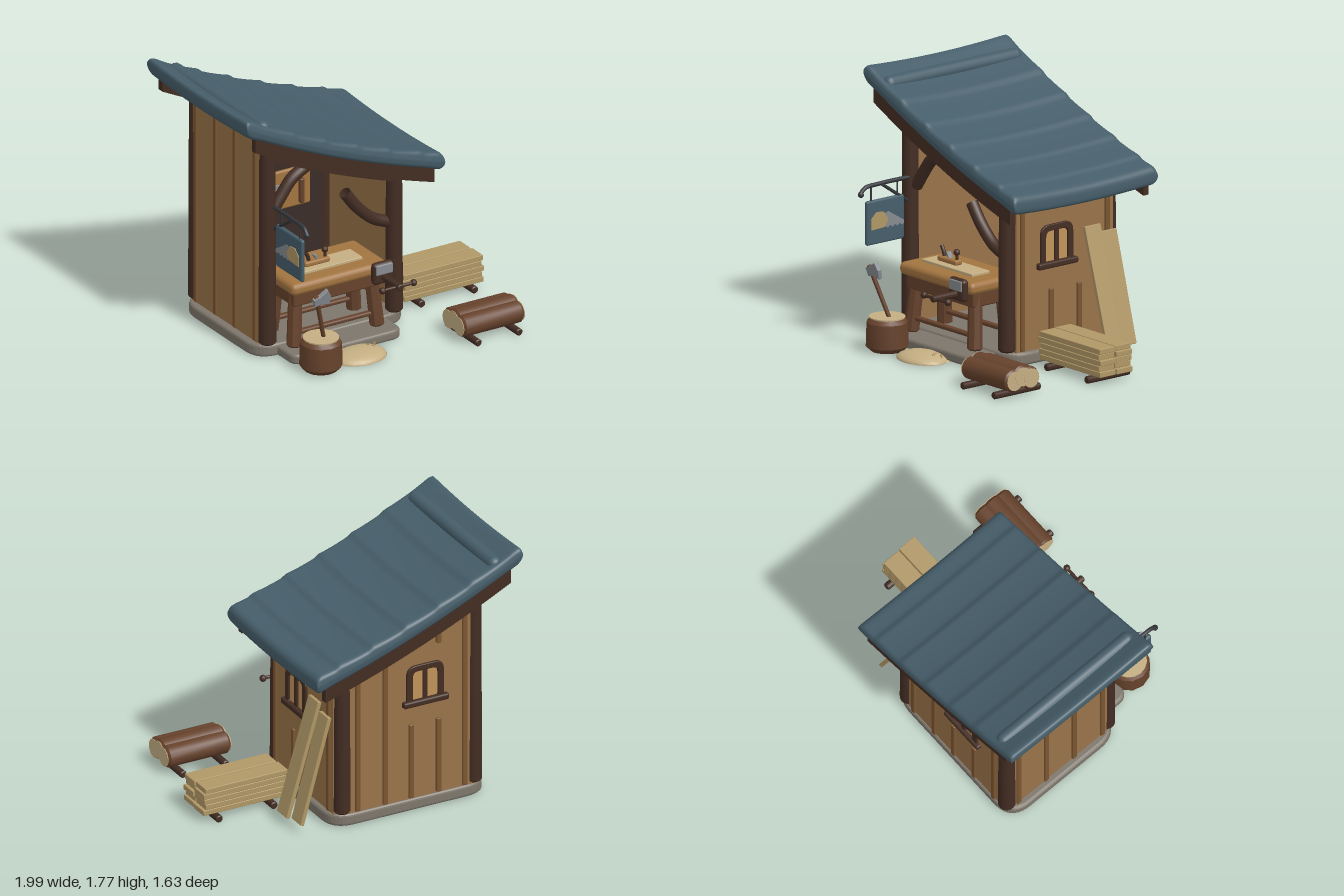
import * as THREE from 'three';
import { RoundedBoxGeometry } from 'three/addons/geometries/RoundedBoxGeometry.js';
import { mergeGeometries, toCreasedNormals } from 'three/addons/utils/BufferGeometryUtils.js';

const C = { dark: 0x432d23, brown: 0x66422c, batten: 0x7a5530, wall: 0x99734a, inside: 0x3a2c27, bench: 0xa27440,
  pale: 0xb09766, slate: 0x465e6a, stone: 0x7d766b, metal: 0x868b90, iron: 0x33363a, pane: 0xc0935a, cut: 0xc4ae82 };
const V = (x, y, z) => new THREE.Vector3(x, y, z);
const mats = {};
const mat = c => (mats[c] ??= new THREE.MeshStandardMaterial({ color: c, side: THREE.DoubleSide }));

function add(parent, name, geo, color, pos = [0, 0, 0], rot = [0, 0, 0]) {
  const m = new THREE.Mesh(geo, mat(color));
  m.name = name;
  m.position.set(...pos);
  m.rotation.set(...rot);
  parent.add(m);
  return m;
}
const box = (w, h, d, r = 0.012) => new RoundedBoxGeometry(w, h, d, 2, Math.min(r, w / 2.1, h / 2.1, d / 2.1));

// Round bar with softened ends between two points
function bar(parent, name, color, a, b, r0, r1 = r0, seg = 14) {
  const p = V(...a), q = V(...b), L = p.distanceTo(q), e = Math.min(r0, r1) * 0.25;
  const prof = [[0, 0], [r0 - e, 0], [r0, e], [r1, L - e], [r1 - e, L], [0, L]].map(v => new THREE.Vector2(...v));
  const m = add(parent, name, toCreasedNormals(new THREE.LatheGeometry(prof, seg), 0.6), color, a);
  m.quaternion.setFromUnitVectors(V(0, 1, 0), q.sub(p).normalize());
  return m;
}
const tube = (pts, r, n = 16) => new THREE.TubeGeometry(new THREE.CatmullRomCurve3(pts.map(p => V(...p))), n, r, 10);
const poly = pts => new THREE.Shape(pts.map(p => new THREE.Vector2(...p)));
const extrude = (shape, depth, bevel = 0) => new THREE.ExtrudeGeometry(shape, { depth, bevelEnabled: bevel > 0,
  bevelSize: bevel, bevelThickness: bevel, bevelOffset: -bevel, bevelSegments: 3, curveSegments: 10 });
function roundRect(x, y, w, h, r, rb = r, S = THREE.Shape) {
  const s = new S();
  s.moveTo(x + rb, y); s.lineTo(x + w - rb, y); s.quadraticCurveTo(x + w, y, x + w, y + rb);
  s.lineTo(x + w, y + h - r); s.quadraticCurveTo(x + w, y + h, x + w - r, y + h);
  s.lineTo(x + r, y + h); s.quadraticCurveTo(x, y + h, x, y + h - r);
  s.lineTo(x, y + rb); s.quadraticCurveTo(x, y, x + rb, y);
  return s;
}

// Centre line of the sagging roof
const mid = x => 1.70 - 0.4264 * (x + 0.95) + 0.08 * (x + 0.95) * (x - 0.07);

// Timber following the roof line; bottom is an offset or a fixed height
function strip(x0, x1, top, bottom, depth) {
  const up = [], down = [], n = 14;
  for (let i = 0; i <= n; i++) {
    const x = x0 + (x1 - x0) * i / n;
    up.push([x, mid(x) + top]);
    down.push([x, bottom > 0 ? bottom : mid(x) + bottom]);
  }
  return extrude(poly([...down, ...up.reverse()]), depth);
}

// Thick roof cover with rounded rim and overlapping courses
function roofGeometry() {
  const x0 = -0.997, x1 = 0.505, z0 = -0.817, z1 = 0.388, r = 0.05;
  const ease = t => t < 0.12 ? 0.04 * (1 - Math.cos(t / 0.12 * Math.PI / 2)) : t > 0.88
    ? 1 - 0.04 * (1 - Math.cos((1 - t) / 0.12 * Math.PI / 2)) : 0.04 + (t - 0.12) / 0.76 * 0.92;
  const rim = d => d >= r ? 1 : Math.max(0, 1 - (1 - d / r) ** 3) ** (1 / 3);
  const sheet = side => {
    const g = new THREE.PlaneGeometry(1, 1, 120, 40), p = g.attributes.position;
    for (let i = 0; i < p.count; i++) {
      const x = x0 + (x1 - x0) * ease(p.getX(i) + 0.5), z = z0 + (z1 - z0) * ease(0.5 - side * p.getY(i));
      const e = rim(Math.min(x - x0, x1 - x)) * rim(Math.min(z - z0, z1 - z));
      const c = (x + 0.84) / 0.24, f = c - Math.floor(c);
      const step = side > 0 && x > -0.84 && x < 0.36 ? 0.014 * (f < 0.86 ? (f / 0.86) ** 2 : (1 - f) / 0.14) : 0;
      const roll = 0.006 * Math.exp(-(((Math.min(x - x0, x1 - x) - 0.05) / 0.05) ** 2));
      const sag = 0.022 * (1 - ((z + 0.215) / 0.6) ** 2);
      p.setXYZ(i, x, mid(x) - sag + side * e * (0.056 + roll + step), z);
    }
    g.computeVertexNormals();
    return g;
  };
  return mergeGeometries([sheet(1), sheet(-1)]);
}

// Window in the xy plane facing +z, origin at the sill
function makeWindow(parent, name, pos, ry) {
  const g = new THREE.Group();
  g.name = name; g.position.set(...pos); g.rotation.y = ry;
  const frame = roundRect(-0.135, 0.02, 0.27, 0.265, 0.07, 0.01);
  frame.holes.push(roundRect(-0.092, 0.04, 0.184, 0.203, 0.04, 0.01, THREE.Path));
  add(g, 'windowFrame', extrude(frame, 0.012, 0.006), C.dark);
  add(g, 'windowPane', extrude(roundRect(-0.1, 0.03, 0.2, 0.22, 0.04, 0.01), 0.006), C.pane, [0, 0, -0.003]);
  add(g, 'mullion', box(0.035, 0.23, 0.018, 0.005), C.dark, [0, 0.14, 0.007]);
  add(g, 'windowSill', box(0.33, 0.042, 0.045), C.dark, [0, 0.02, 0.014]);
  parent.add(g);
}

const sawBlade = poly([[-0.02, 0.035], [0.02, 0.05], [0.15, -0.03], [0.15, -0.05], ...[0, 1, 2, 3].flatMap(i =>
  [[0.135 - i * 0.04, -0.06], [0.115 - i * 0.04, -0.045]]), [-0.02, -0.05]]);
const sawGrip = poly([[-0.125, -0.055], [-0.125, 0.02], [-0.08, 0.06], [-0.02, 0.055], [0.0, 0.02], [0.02, 0], [-0.01, -0.05]]);

export function createModel() {
  const root = new THREE.Group();
  root.name = 'workshop';
  const group = name => { const g = new THREE.Group(); g.name = name; root.add(g); return g; };

  // Stone base and step
  const base = group('base');
  add(base, 'slab', extrude(roundRect(-0.83, -0.25, 1.15, 0.93, 0.17), 0.045, 0.02), C.stone, [0, 0.02, 0], [-Math.PI / 2, 0, 0]);
  add(base, 'step', extrude(roundRect(-0.68, -0.45, 0.83, 0.4, 0.08), 0.03, 0.02), C.stone, [0, 0.02, 0], [-Math.PI / 2, 0, 0]);

  // Walls with battens
  const walls = group('walls');
  add(walls, 'backWall', strip(-0.74, 0.23, -0.03, 0.08, 0.04), C.wall, [0, 0, -0.665]);
  add(walls, 'leftWall', box(0.05, 1.47, 0.81, 0.004), C.wall, [-0.755, 0.815, -0.22]);
  add(walls, 'rightWall', box(0.05, 1.05, 0.81, 0.004), C.wall, [0.26, 0.605, -0.22]);
  add(walls, 'innerPanel', box(0.94, 0.97, 0.02), C.inside, [-0.245, 0.565, -0.6]);
  const batten = (x, z, y0, y1) => add(walls, 'batten', box(0.036, y1 - y0, 0.036, 0.008), C.batten, [x, (y0 + y1) / 2, z]);
  for (const z of [0.14, -0.1, -0.335, -0.57]) {
    batten(-0.775, z, 0.09, 1.52);
    batten(0.283, z, 0.09, z > 0 || z < -0.5 ? 1.12 : 0.47);
  }
  for (const x of [0.13, -0.07, -0.26, -0.46, -0.65]) {
    const top = mid(x) - 0.06;
    if (x === -0.26 || x === -0.46) { batten(x, -0.663, 0.09, 0.62); batten(x, -0.663, 1.16, top); }
    else batten(x, -0.663, 0.09, top);
  }
  makeWindow(walls, 'rightWindow', [0.284, 0.61, -0.145], Math.PI / 2);
  makeWindow(walls, 'backWindow', [-0.36, 0.75, -0.664], Math.PI);

  // Posts, beams and braces
  const timber = group('timberFrame');
  for (const z of [0.215, -0.63]) {
    bar(timber, 'leftPost', C.dark, [-0.735, 0.09, z], [-0.735, 1.55, z], 0.058, 0.052);
    bar(timber, 'rightPost', C.dark, [0.225, 0.09, z], [0.225, 1.15, z], 0.058, 0.052);
  }
  add(timber, 'headerBeam', strip(-0.74, 0.25, -0.04, -0.205, 0.08), C.dark, [0, 0, 0.175]);
  for (const z of [0.322, -0.797]) add(timber, 'bargeBoard', strip(-0.92, 0.435, 0, -0.152, 0.045), C.dark, [0, 0, z]);
  add(timber, 'leftBrace', tube([[-0.69, 1.0, 0.2], [-0.62, 1.1, 0.2], [-0.54, 1.2, 0.2], [-0.42, 1.27, 0.2]], 0.042), C.dark);
  add(timber, 'rightBrace', tube([[0.18, 0.72, 0.2], [0.07, 0.77, 0.2], [-0.05, 0.88, 0.2], [-0.14, 1.0, 0.2]], 0.04), C.dark);

  // Roof
  const roof = group('roof');
  add(roof, 'roofCover', roofGeometry(), C.slate);
  add(roof, 'ridgeRoll', new THREE.CapsuleGeometry(0.05, 1.04, 6, 16), C.slate, [-0.83, 1.668, -0.215], [Math.PI / 2, 0, 0]);

  // Tool board on the back wall
  const tools = group('toolBoard');
  add(tools, 'board', box(0.43, 0.27, 0.03), C.bench, [-0.135, 0.72, -0.57]);
  add(tools, 'hangingBlade', box(0.22, 0.075, 0.015, 0.003), C.metal, [-0.21, 0.74, -0.545], [0, 0, -0.25]);
  bar(tools, 'hangingHandle', C.brown, [0, 0.61, -0.54], [0, 0.78, -0.54], 0.018);

  // Workbench
  const bench = group('workbench'), cx = -0.285;
  add(bench, 'benchTop', box(0.73, 0.085, 0.42, 0.035), C.bench, [cx, 0.495, 0.18]);
  add(bench, 'apron', box(0.66, 0.1, 0.33), C.brown, [cx, 0.41, 0.18]);
  for (const s of [-1, 1]) {
    for (const t of [-1, 1]) bar(bench, 'benchLeg', C.brown,
      [cx + s * 0.315, 0.075, 0.18 + t * 0.14], [cx + s * 0.285, 0.45, 0.18 + t * 0.11], 0.05, 0.046, 8);
    add(bench, 'benchStretcher', box(0.6, 0.03, 0.04), C.brown, [cx, 0.165, 0.18 + s * 0.13]);
  }
  add(bench, 'workpiece', box(0.5, 0.022, 0.15, 0.005), C.cut, [-0.3, 0.544, 0.2]);
  add(bench, 'planeBody', box(0.19, 0.035, 0.06), C.bench, [-0.36, 0.573, 0.2]);
  add(bench, 'planeIron', box(0.015, 0.06, 0.035, 0.004), C.metal, [-0.36, 0.6, 0.2], [0, 0, 0.5]);
  bar(bench, 'planeKnobStem', C.dark, [-0.29, 0.58, 0.2], [-0.29, 0.63, 0.2], 0.01);
  add(bench, 'planeKnob', new THREE.SphereGeometry(0.022, 12, 8), C.dark, [-0.29, 0.638, 0.2]);
  add(bench, 'planeHandle', tube([[-0.41, 0.58, 0.2], [-0.42, 0.62, 0.2], [-0.44, 0.655, 0.2]], 0.013, 8), C.dark);

  // Vise
  const vise = group('vise');
  add(vise, 'viseJaw', box(0.155, 0.15, 0.055, 0.025), C.dark, [0, 0.495, 0.43]);
  add(vise, 'jawPlate', box(0.125, 0.07, 0.015), C.metal, [0, 0.525, 0.455]);
  bar(vise, 'viseScrew', C.dark, [0, 0.468, 0.38], [0, 0.468, 0.655], 0.023);
  bar(vise, 'viseHandle', C.dark, [-0.12, 0.465, 0.62], [0.12, 0.465, 0.62], 0.011);
  for (const s of [-1, 1]) add(vise, 'handleEnd', new THREE.SphereGeometry(0.023, 12, 8), C.dark, [s * 0.118, 0.465, 0.62]);

  // Chopping block with axe
  const block = group('choppingBlock');
  bar(block, 'stump', C.brown, [-0.55, 0, 0.565], [-0.55, 0.225, 0.565], 0.14, 0.135, 12);
  add(block, 'stumpTop', new THREE.CylinderGeometry(0.118, 0.118, 0.008, 16), C.cut, [-0.55, 0.223, 0.565]);
  bar(block, 'axeHandle', C.brown, [-0.53, 0.22, 0.565], [-0.635, 0.56, 0.645], 0.014, 0.016);
  add(block, 'axeHead', extrude(poly([[-0.03, 0.03], [0.02, 0.035], [0.08, 0.06], [0.095, 0], [0.075, -0.06], [0.02, -0.03], [-0.03, -0.03]]), 0.02, 0.005),
    C.metal, [-0.622, 0.525, 0.63], [0.2, 0, 0.25]);

  // Sawdust heap with shavings
  const dust = group('sawdust');
  add(dust, 'sawdustHeap', new THREE.SphereGeometry(1, 20, 8, 0, Math.PI * 2, 0, Math.PI / 2), C.cut, [-0.24, 0, 0.535]).scale.set(0.19, 0.055, 0.145);
  add(dust, 'sawdustSkirt', new THREE.CylinderGeometry(0.17, 0.18, 0.008, 20), C.cut, [-0.24, 0.004, 0.5]);
  for (const [x, z] of [[-0.15, 0.5], [-0.1, 0.49], [-0.13, 0.53]])
    add(dust, 'shaving', new THREE.TorusGeometry(0.01, 0.004, 6, 12), C.pale, [x, 0.042, z], [0.6, x * 9, 0]);

  // Log pile
  const logs = group('logPile');
  for (const [y, z, x] of [[0.112, 0.695, 0.413], [0.112, 0.56, 0.417], [0.13, 0.628, 0.415]]) {
    bar(logs, 'log', C.brown, [x, y, z], [x + 0.46, y, z], 0.074, 0.074, 16);
    for (const e of [x, x + 0.46]) add(logs, 'logEnd', new THREE.CylinderGeometry(0.064, 0.064, 0.004, 16), C.cut, [e, y, z], [0, 0, Math.PI / 2]);
  }
  for (const x of [0.49, 0.8]) bar(logs, 'logSkid', C.dark, [x, 0.022, 0.43], [x, 0.022, 0.815], 0.024);

  // Plank stack
  const stack = group('plankStack');
  for (let i = 0; i < 5; i++) for (let j = 0; j < 2; j++)
    add(stack, 'plank', box(0.6, 0.036, 0.13, 0.004), C.pale,
      [0.69 - [0, 0.012, -0.004, 0.014, 0.004][(i + j * 2) % 5], 0.066 + i * 0.038, j ? -0.124 : 0.014]);
  for (const x of [0.5, 0.9]) bar(stack, 'plankSkid', C.dark, [x, 0.024, -0.235], [x, 0.024, 0.12], 0.025);

  // Planks leaning on the right wall
  const leaning = group('leaningPlanks');
  for (const [z, w, top, foot] of [[-0.425, 0.132, 0.835, 0.54], [-0.562, 0.125, 0.78, 0.51]]) {
    const dx = foot - 0.308, dy = top - 0.055;
    add(leaning, 'leaningPlank', box(0.028, Math.hypot(dx, dy), w, 0.005), C.pale, [(foot + 0.308) / 2, 0.055 + dy / 2, z], [0, 0, Math.atan2(dx, dy)]);
  }

  // Hanging sign on an iron bracket
  const sign = group('hangingSign');
  add(sign, 'bracketArm', tube([[-0.71, 1.06, 0.22], [-0.71, 1.06, 0.5], [-0.71, 1.05, 0.62], [-0.71, 1.015, 0.655]], 0.014), C.iron);
  add(sign, 'bracketTip', new THREE.SphereGeometry(0.02, 10, 8), C.iron, [-0.71, 1.012, 0.65]);
  bar(sign, 'bracketBrace', C.iron, [-0.71, 0.9, 0.25], [-0.71, 1.05, 0.47], 0.011);
  for (const z of [0.565, 0.345]) bar(sign, 'hanger', C.iron, [-0.71, 0.95, z], [-0.71, 1.06, z], 0.006);
  add(sign, 'signBoard', box(0.03, 0.295, 0.315, 0.014), C.slate, [-0.71, 0.812, 0.453]);
  for (const s of [-1, 1]) {
    const x = -0.71 + s * 0.014;
    add(sign, 'sawBlade', extrude(sawBlade, 0.006), C.metal, [x - 0.003, 0.82, 0.453], [0, Math.PI / 2, 0]);
    add(sign, 'sawHandle', extrude(sawGrip, 0.01), C.pale, [x - 0.005, 0.82, 0.453], [0, Math.PI / 2, 0]);
  }
  return root;
}
